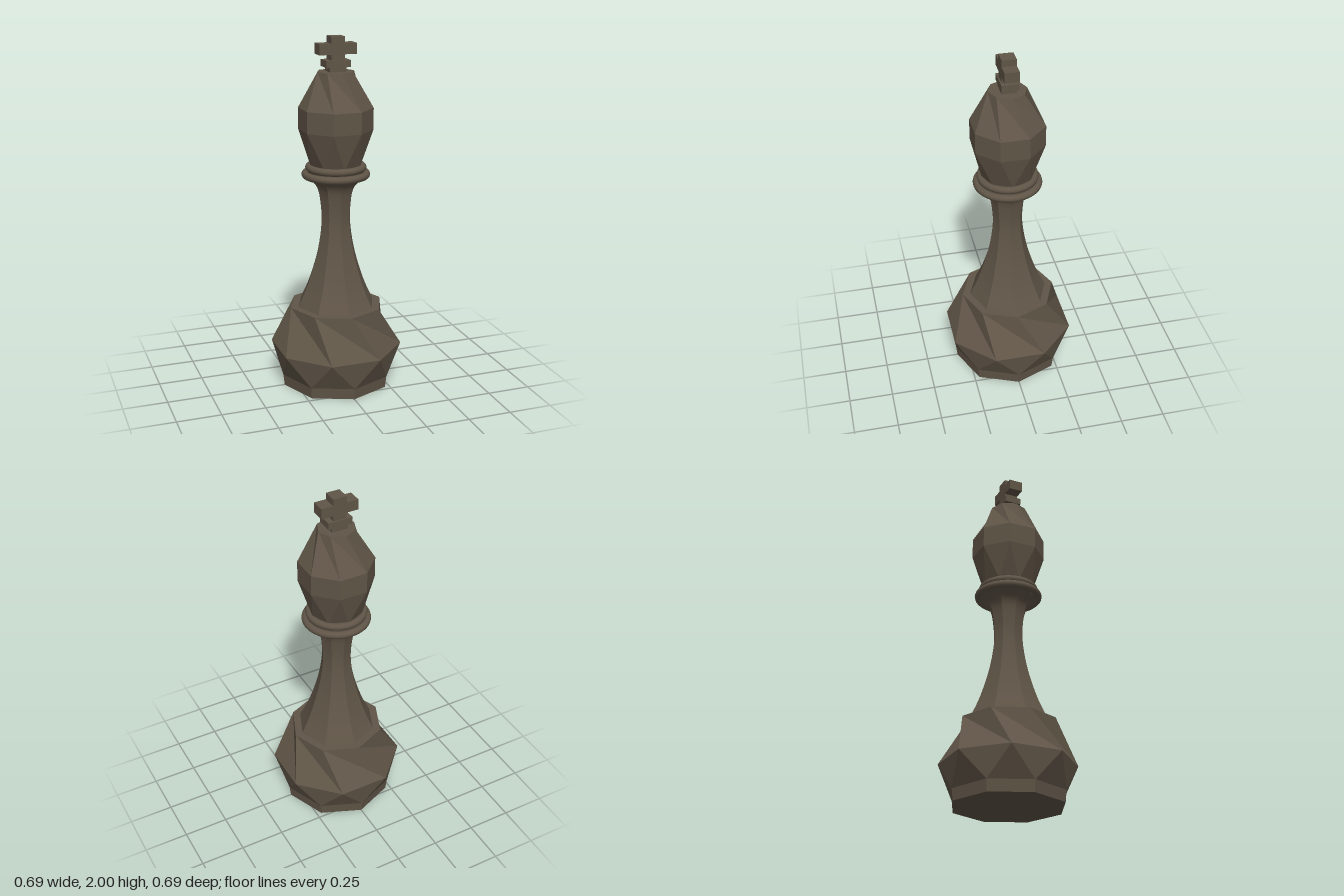
import * as THREE from 'three';
import { toCreasedNormals } from 'three/addons/utils/BufferGeometryUtils.js';

const SIDES = 8;

// Stack of octagonal rings { y, r, turn (degrees), twist }, capped at both ends.
// twist picks the diagonal used on the band that starts at that ring.
function facetedStack(rings) {
  const pos = [];
  const point = (ring, i) => {
    const a = THREE.MathUtils.degToRad(ring.turn + (i * 360) / SIDES);
    return [ring.r * Math.cos(a), ring.y, ring.r * Math.sin(a)];
  };
  const tri = (a, b, c) => pos.push(...a, ...b, ...c);
  const first = rings[0], last = rings[rings.length - 1];
  for (let i = 0; i < SIDES; i++) {
    for (let k = 0; k < rings.length - 1; k++) {
      const a = point(rings[k], i), b = point(rings[k], i + 1);
      const c = point(rings[k + 1], i), d = point(rings[k + 1], i + 1);
      if (rings[k].twist) {
        tri(a, d, b);
        tri(a, c, d);
      } else {
        tri(a, c, b);
        tri(b, c, d);
      }
    }
    tri([0, first.y, 0], point(first, i), point(first, i + 1));
    tri([0, last.y, 0], point(last, i + 1), point(last, i));
  }
  const geo = new THREE.BufferGeometry();
  geo.setAttribute('position', new THREE.Float32BufferAttribute(pos, 3));
  geo.computeVertexNormals();
  return geo;
}

export function createModel() {
  const model = new THREE.Group();
  model.name = 'chessKing';
  const wood = new THREE.MeshStandardMaterial({ color: 0x605547 });
  wood.name = 'darkWood';

  const add = (name, geo, y = 0) => {
    const mesh = new THREE.Mesh(geo, wood);
    mesh.name = name;
    mesh.position.y = y;
    model.add(mesh);
    return mesh;
  };

  // Faceted foot with a twisted shoulder
  add('base', facetedStack([
    { y: 0, r: 0.315, turn: 0 },
    { y: 0.065, r: 0.322, turn: 0 },
    { y: 0.23, r: 0.376, turn: 22.5, twist: true },
    { y: 0.47, r: 0.27, turn: 45 },
  ]));

  // Eight-sided waisted column, smooth along its length
  const profile = new THREE.SplineCurve([
    [0.226, 0.47], [0.168, 0.6], [0.113, 0.78], [0.086, 0.95],
    [0.091, 1.08], [0.112, 1.17], [0.165, 1.225],
  ].map(([r, y]) => new THREE.Vector2(r, y))).getPoints(28);
  const column = new THREE.LatheGeometry(profile, SIDES);
  add('column', toCreasedNormals(column, 0.6));

  // Two round collar rings around a core
  for (const [name, outer, y] of [['lowerCollar', 0.192, 1.237], ['upperCollar', 0.171, 1.277]]) {
    const ring = new THREE.TorusGeometry(outer - 0.021, 0.021, 12, 48);
    ring.rotateX(Math.PI / 2);
    add(name, ring, y);
  }
  add('collarCore', new THREE.CylinderGeometry(0.155, 0.155, 0.065, 32), 1.255);

  // Faceted head, twisted towards the crown
  add('head', facetedStack([
    { y: 1.285, r: 0.145, turn: 0 },
    { y: 1.49, r: 0.208, turn: 22.5 },
    { y: 1.61, r: 0.208, turn: 22.5, twist: true },
    { y: 1.81, r: 0.105, turn: 45 },
  ]));

  // Finial neck and plinth
  add('finialNeck', new THREE.BoxGeometry(0.094, 0.03, 0.084), 1.822);
  add('finialPlinth', new THREE.BoxGeometry(0.14, 0.038, 0.096), 1.854);

  // Cross finial: half outline mirrored across x
  const half = [[0.039, 1.87], [0.039, 1.904], [0.107, 1.904], [0.107, 1.963], [0.039, 1.963], [0.039, 2]];
  const outline = [...half, ...half.map(([x, y]) => [-x, y]).reverse()];
  const cross = new THREE.ExtrudeGeometry(
    new THREE.Shape(outline.map(([x, y]) => new THREE.Vector2(x, y))),
    { depth: 0.08, bevelEnabled: false },
  );
  cross.translate(0, 0, -0.04);
  add('cross', cross);

  return model;
}
